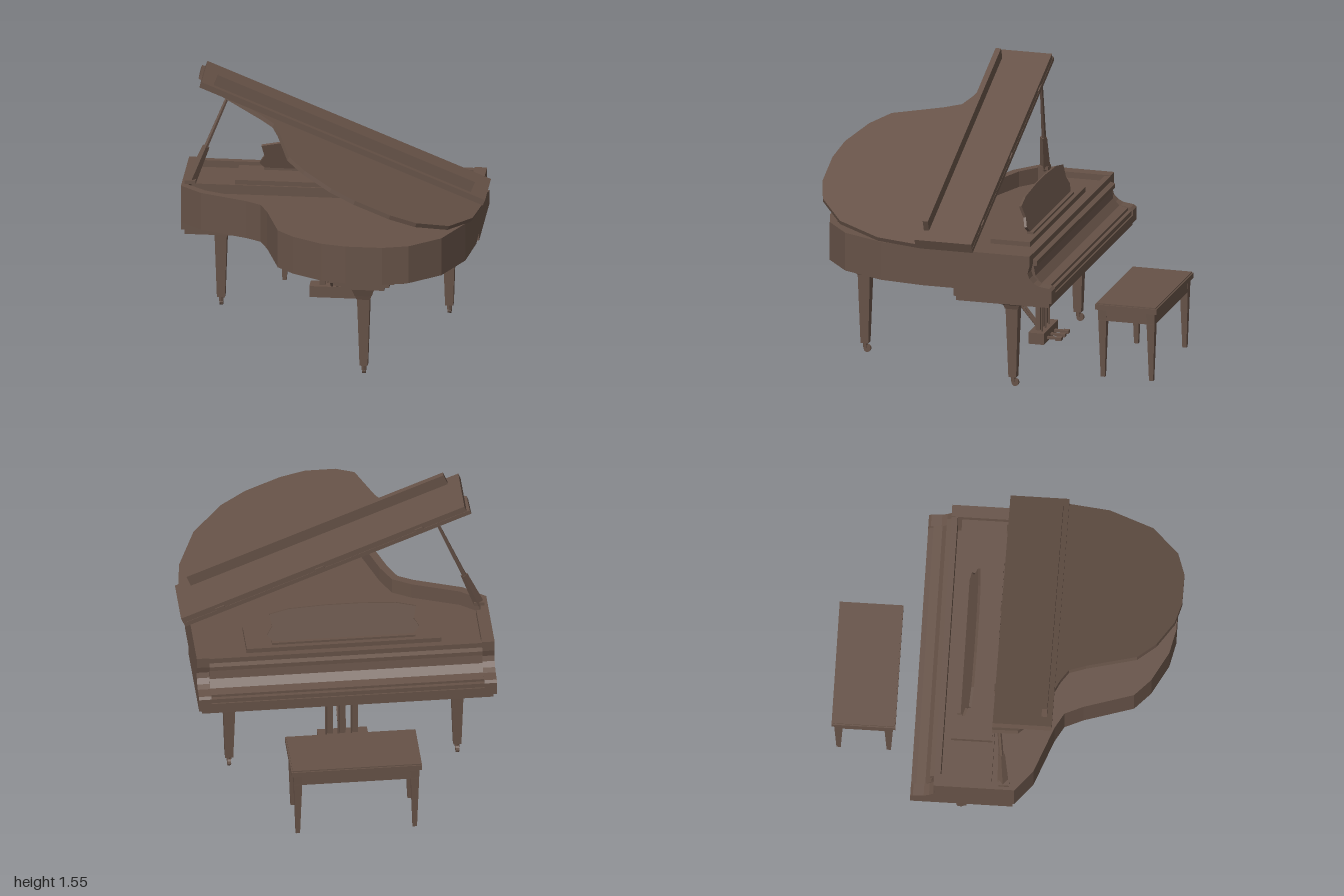
import * as THREE from 'three';

const mat = new THREE.MeshStandardMaterial({ color: 0x665247, flatShading: true, side: THREE.DoubleSide });

function add(parent, name, geo, x = 0, y = 0, z = 0) {
  const m = new THREE.Mesh(geo, mat);
  m.name = name;
  m.position.set(x, y, z);
  parent.add(m);
  return m;
}
// Box given by its lower and upper limits
function block(parent, name, x0, x1, y0, y1, z0, z1) {
  return add(parent, name, new THREE.BoxGeometry(x1 - x0, y1 - y0, z1 - z0),
    (x0 + x1) / 2, (y0 + y1) / 2, (z0 + z1) / 2);
}
// Square tapered post from y0 to y1
function taper(parent, name, x, z, y0, y1, wBottom, wTop) {
  const geo = new THREE.CylinderGeometry(wTop * Math.SQRT1_2, wBottom * Math.SQRT1_2, y1 - y0, 4);
  geo.rotateY(Math.PI / 4);
  return add(parent, name, geo, x, (y0 + y1) / 2, z);
}
const toShape = pts => new THREE.Shape(pts.map(p => new THREE.Vector2(p[0], p[1])));
// Horizontal plate with a plan outline in (x, z)
function slab(parent, name, pts, yTop, thick) {
  const geo = new THREE.ExtrudeGeometry(toShape(pts), { depth: thick, bevelEnabled: false });
  geo.rotateX(Math.PI / 2);
  return add(parent, name, geo, 0, yTop, 0);
}
// Side profile in (z, y) swept across x
function sweep(parent, name, pts, x0, x1) {
  const geo = new THREE.ExtrudeGeometry(toShape(pts), { depth: x1 - x0, bevelEnabled: false });
  geo.rotateY(-Math.PI / 2);
  return add(parent, name, geo, x1, 0, 0);
}
// Straight rod between two points
function rod(parent, name, a, b, rA, rB, sides = 6) {
  const p = new THREE.Vector3(...a), q = new THREE.Vector3(...b);
  const m = add(parent, name, new THREE.CylinderGeometry(rB, rA, p.distanceTo(q), sides));
  m.position.copy(p).add(q).multiplyScalar(0.5);
  m.quaternion.setFromUnitVectors(new THREE.Vector3(0, 1, 0), q.sub(p).normalize());
  return m;
}
// Shift an open outline sideways (positive = outwards)
function offset(pts, d) {
  return pts.map((p, i) => {
    const a = pts[Math.max(i - 1, 0)], b = pts[Math.min(i + 1, pts.length - 1)];
    const tx = b[0] - a[0], tz = b[1] - a[1], l = Math.hypot(tx, tz);
    return [p[0] - tz / l * d, p[1] + tx / l * d];
  });
}

// Case outline from the treble cheek round the tail to the straight bass side
const OUTLINE = [[-0.833, 0.45], [-0.833, 0.58], [-0.712, 0.68], [-0.45, 0.78], [-0.362, 0.83],
  [-0.315, 0.934], [-0.228, 1.21], [-0.133, 1.30], [0.034, 1.39], [0.171, 1.42], [0.377, 1.42],
  [0.52, 1.38], [0.69, 1.24], [0.80, 1.0], [0.833, 0.75], [0.833, 0.45]];

function buildCase(g) {
  const inner = offset(OUTLINE, -0.045);
  slab(g, 'rim', [...OUTLINE, ...inner.slice().reverse()], 0.82, 0.22);
  slab(g, 'soundboard', offset(OUTLINE, -0.03), 0.73, 0.12);

  // Keyboard end
  block(g, 'keyBed', -0.833, 0.833, 0.555, 0.6, 0, 0.57);
  block(g, 'keyBedUnderside', -0.815, 0.815, 0.525, 0.555, 0.02, 0.56);
  const arm = [[0, 0.6], [0, 0.63], [0.015, 0.642], [0.075, 0.65], [0.105, 0.665], [0.13, 0.69],
    [0.14, 0.72], [0.13, 0.76], [0.13, 0.82], [0.45, 0.82], [0.45, 0.6]];
  for (const x of [-0.833, 0.763]) sweep(g, 'arm', arm, x, x + 0.07);
  block(g, 'keySlip', -0.763, 0.763, 0.6, 0.625, 0.008, 0.1);
  sweep(g, 'keyLid', [[0.03, 0.6], [0.03, 0.64], [0.08, 0.65], [0.115, 0.69], [0.125, 0.745],
    [0.105, 0.75], [0.105, 0.775], [0.13, 0.785], [0.13, 0.815], [0.165, 0.815], [0.165, 0.6]], -0.763, 0.763);
  block(g, 'frontDeck', -0.763, 0.763, 0.6, 0.785, 0.19, 0.45);
  block(g, 'musicShelf', -0.545, 0.545, 0.785, 0.812, 0.21, 0.44);

  // Music desk with scalloped ends
  const half = [[0.38, 0], [0.425, 0.05], [0.395, 0.1], [0.41, 0.17], [0.3, 0.195], [0.1, 0.205]];
  const desk = toShape([...half, ...half.slice().reverse().map(p => [-p[0], p[1]])]);
  const deskGeo = new THREE.ExtrudeGeometry(desk, { depth: 0.015, bevelEnabled: false });
  add(g, 'musicDesk', deskGeo, 0, 0.812, 0.25).rotation.x = 0.3;
  block(g, 'musicDeskLedge', -0.4, 0.4, 0.812, 0.825, 0.235, 0.27);
}

function buildLid(g) {
  const lid = new THREE.Group();
  lid.name = 'lid';
  lid.position.set(0.865, 0.822, 0);
  lid.rotation.z = -0.385;
  g.add(lid);
  const pts = offset(OUTLINE, 0.03).map(p => [p[0] - 0.865, p[1]]);
  slab(lid, 'mainLid', pts, 0.025, 0.025);
  // Front flap folded back, with its upright lip
  block(lid, 'foldedFlap', -1.71, 0, 0.026, 0.06, 0.451, 0.78);
  block(lid, 'flapLip', -1.64, -0.09, 0.06, 0.125, 0.72, 0.75);
  for (let i = 0; i < 3; i++) block(lid, 'lidHinge', -1.45 + i * 0.6, -1.4 + i * 0.6, 0.02, 0.04, 0.445, 0.451);

  // Lid prop
  block(g, 'propBase', -0.815, -0.755, 0.82, 0.84, 0.49, 0.55);
  rod(g, 'propFoot', [-0.785, 0.82, 0.515], [-0.70, 1.03, 0.5], 0.03, 0.02, 4);
  rod(g, 'propStick', [-0.785, 0.82, 0.515], [-0.55, 1.4, 0.47], 0.016, 0.009);
}

function buildLeg(g, x, z, name) {
  const leg = new THREE.Group();
  leg.name = name;
  leg.position.set(x, 0, z);
  g.add(leg);
  taper(leg, 'legPost', 0, 0, 0.055, 0.48, 0.045, 0.072);
  taper(leg, 'legCollar', 0, 0, 0.455, 0.485, 0.076, 0.095);
  rod(leg, 'casterStem', [0, 0.025, 0], [0, 0.058, 0], 0.014, 0.016);
  const wheel = new THREE.CylinderGeometry(0.021, 0.021, 0.02, 10);
  wheel.rotateZ(Math.PI / 2);
  add(leg, 'casterWheel', wheel, 0, 0.021, -0.012);
  return leg;
}

function buildLegs(g) {
  for (const s of [-1, 1]) {
    const leg = buildLeg(g, s * 0.638, 0.28, 'frontLeg');
    taper(leg, 'legFlare', 0, 0, 0.48, 0.51, 0.095, 0.18);
    block(leg, 'legPlate', -0.1, 0.1, 0.508, 0.53, -0.1, 0.1);
  }
  const tail = buildLeg(g, 0.258, 1.25, 'tailLeg');
  taper(tail, 'legFlare', 0, 0, 0.48, 0.53, 0.095, 0.13);
  [[0.24, 0.14], [0.30, 0.18], [0.36, 0.22]].forEach(([w, d], i) =>
    block(tail, 'tailBracketStep', -w / 2, w / 2, 0.525 + i * 0.026, 0.551 + i * 0.026, -d / 2, d / 2));
}

function buildLyre(g) {
  const lyre = new THREE.Group();
  lyre.name = 'pedalLyre';
  g.add(lyre);
  block(lyre, 'pedalBox', -0.14, 0.14, 0.09, 0.155, 0.25, 0.34);
  for (const x of [-0.07, 0, 0.07]) {
    block(lyre, 'lyrePost', x - 0.016, x + 0.016, 0.15, 0.53, 0.29, 0.315);
    rod(lyre, 'pedalRod', [x + 0.025, 0.15, 0.275], [x + 0.025, 0.53, 0.275], 0.005, 0.005);
    block(lyre, 'pedal', x - 0.012, x + 0.012, 0.108, 0.12, 0.18, 0.26);
    block(lyre, 'pedalTip', x - 0.018, x + 0.018, 0.104, 0.122, 0.165, 0.2);
  }
  for (const s of [-1, 1]) rod(lyre, 'lyreBrace', [s * 0.015, 0.15, 0.32], [s * 0.03, 0.53, 0.63], 0.008, 0.008);
}

function buildBench(g) {
  const bench = new THREE.Group();
  bench.name = 'bench';
  bench.position.set(0, 0, -0.29);
  g.add(bench);
  block(bench, 'seat', -0.365, 0.365, 0.395, 0.425, -0.178, 0.178);
  block(bench, 'seatTop', -0.358, 0.358, 0.425, 0.432, -0.171, 0.171);
  block(bench, 'apron', -0.35, 0.35, 0.33, 0.395, -0.163, 0.163);
  for (const x of [-0.327, 0.327]) for (const z of [-0.14, 0.14])
    taper(bench, 'benchLeg', x, z, 0, 0.395, 0.024, 0.05);
}

export function createModel() {
  const root = new THREE.Group();
  root.name = 'grandPianoWithBench';
  // Built with the keyboard along x and the tail towards +z, then turned on the floor
  const g = new THREE.Group();
  g.name = 'pianoSet';
  g.position.set(0.235, 0, -0.37);
  g.rotation.y = -0.857;
  root.add(g);
  buildCase(g);
  buildLid(g);
  buildLegs(g);
  buildLyre(g);
  buildBench(g);
  return root;
}
